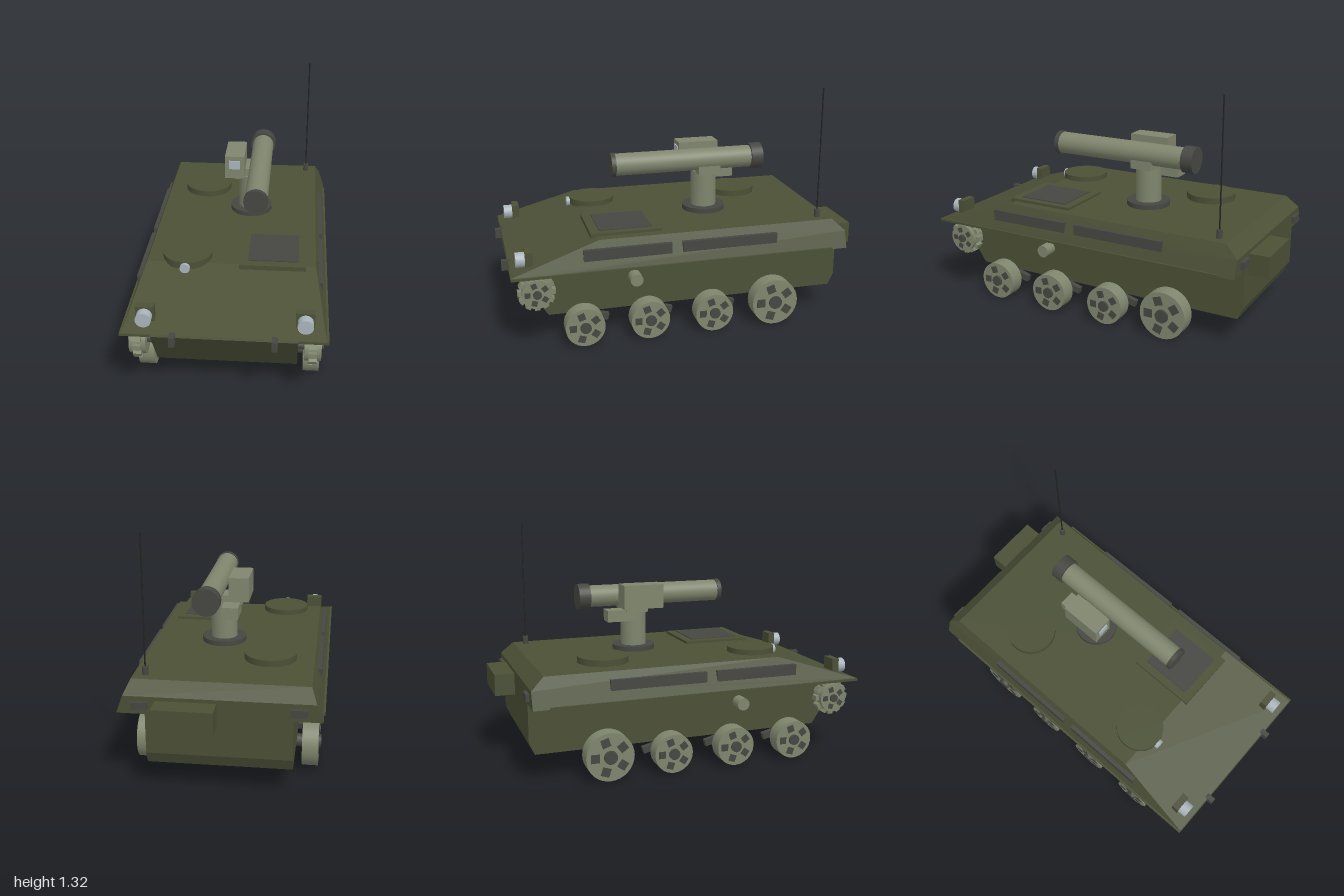
import * as THREE from 'three';
import { ConvexGeometry } from 'three/addons/geometries/ConvexGeometry.js';

const material = (name, color) => {
  const m = new THREE.MeshStandardMaterial({ color });
  m.name = name;
  return m;
};

export function createModel() {
  const olive = material('olive hull', 0x4b5036);
  const sage = material('sage fittings', 0x7f856d);
  const dark = material('dark grey', 0x464642);
  const glass = material('pale glass', 0xaab4bc);
  const black = material('antenna black', 0x222222);

  const model = new THREE.Group();
  model.name = 'armouredVehicle';

  const add = (name, geometry, mat, parent = model) => {
    const mesh = new THREE.Mesh(geometry, mat);
    mesh.name = name;
    parent.add(mesh);
    return mesh;
  };
  // Box given by its extents on each axis
  const box = (name, mat, [x0, x1], [y0, y1], [z0, z1], parent) => {
    const mesh = add(name, new THREE.BoxGeometry(x1 - x0, y1 - y0, z1 - z0), mat, parent);
    mesh.position.set((x0 + x1) / 2, (y0 + y1) / 2, (z0 + z1) / 2);
    return mesh;
  };
  // Cylinder of a given length, centred at a point, along one axis
  const cylinder = (name, mat, r, length, axis, [x, y, z], parent, sides = 32) => {
    const g = new THREE.CylinderGeometry(r, r, length, sides);
    if (axis === 'x') g.rotateZ(-Math.PI / 2);
    if (axis === 'z') g.rotateX(Math.PI / 2);
    const mesh = add(name, g, mat, parent);
    mesh.position.set(x, y, z);
    return mesh;
  };
  // Solid spanned by mirrored pairs of corners
  const mirroredSolid = (name, mat, corners) => add(name, new ConvexGeometry(
    corners.flatMap(([x, y, z]) => [new THREE.Vector3(x, y, z), new THREE.Vector3(-x, y, z)])), mat);

  // Hull
  mirroredSolid('lowerHull', olive, [
    [0.37, 0.155, 0.77], [0.37, 0.435, 0.96], [0.37, 0.435, -0.89],
    [0.37, 0.22, -0.89], [0.37, 0.155, -0.86]]);
  mirroredSolid('upperHull', olive, [
    [0.515, 0.432, 0.97], [0.51, 0.445, 0.965], [0.515, 0.432, -0.89],
    [0.482, 0.525, -0.89], [0.453, 0.59, 0.5], [0.453, 0.59, -0.82]]);

  // Wheel facing +x: rim, hub and five dark recesses on the outer face
  function wheel(name, r, y, z, parent) {
    const g = new THREE.Group();
    g.name = name;
    g.position.set(0, y, z);
    parent.add(g);
    cylinder('rim', sage, r, 0.086, 'x', [0.445, 0, 0], g);
    cylinder('hub', dark, r * 0.28, 0.03, 'x', [0.486, 0, 0], g, 16);
    const s = r * 0.36;
    for (let i = 0; i < 5; i++) {
      const a = i * Math.PI * 2 / 5;
      const plate = add('recess', new THREE.BoxGeometry(0.008, s, s), dark, g);
      plate.position.set(0.487, Math.sin(a) * r * 0.63, Math.cos(a) * r * 0.63);
      plate.rotation.x = -a;
    }
    return g;
  }

  for (const side of [1, -1]) {
    const label = side > 0 ? 'left' : 'right';
    const gear = new THREE.Group();
    gear.name = label + 'RunningGear';
    // A half turn keeps faces outward; z is flipped back per part
    gear.rotation.y = side > 0 ? 0 : Math.PI;
    model.add(gear);

    // Road wheels with swing arms
    for (const z of [0.59, 0.233, -0.13]) {
      wheel('roadWheel', 0.107, 0.112, z * side, gear);
      const arm = box('swingArm', dark, [0.36, 0.39], [0.118, 0.155], [z * side - 0.09, z * side + 0.09], gear);
      arm.position.z -= 0.055 * side;
      arm.rotation.x = -0.25 * side;
      cylinder('axle', dark, 0.025, 0.05, 'x', [0.39, 0.125, z * side], gear, 16);
    }
    wheel('idlerWheel', 0.132, 0.135, -0.485 * side, gear);
    cylinder('idlerAxle', dark, 0.035, 0.05, 'x', [0.385, 0.135, -0.485 * side], gear, 16);

    // Toothed drive sprocket
    const sprocket = wheel('driveSprocket', 0.08, 0.332, 0.837 * side, gear);
    for (let i = 0; i < 12; i++) {
      const a = i * Math.PI / 6;
      const tooth = add('tooth', new THREE.BoxGeometry(0.042, 0.028, 0.025), sage, sprocket);
      tooth.position.set(0.445, Math.sin(a) * 0.087, Math.cos(a) * 0.087);
      tooth.rotation.x = -a;
    }
    cylinder('sprocketAxle', dark, 0.025, 0.05, 'x', [0.385, 0.332, 0.837 * side], gear, 16);
    cylinder('returnRoller', sage, 0.035, 0.075, 'x', [0.405, 0.333, 0.297 * side], gear, 20);

    // Mirrored extents for boxes on either side
    const mx = (a, b) => side > 0 ? [a, b] : [-b, -a];
    box(label + 'Fender', olive, mx(0.37, 0.522), [0.43, 0.443], [-0.8, 0.97]);
    for (const span of [[0.115, 0.59], [-0.48, 0.055]])
      box(label + 'SidePanel', dark, mx(0.47, 0.493), [0.49, 0.55], span);

    // Lights and tow hooks
    box(label + 'HeadlightHousing', olive, mx(0.355, 0.45), [0.46, 0.55], [0.847, 0.887]);
    cylinder(label + 'Headlight', glass, 0.04, 0.05, 'z', [0.404 * side, 0.502, 0.91]);
    box(label + 'TowHook', dark, mx(0.24, 0.27), [0.395, 0.45], [0.95, 1.0]);
    box(label + 'RearLight', dark, mx(0.355, 0.435), [0.46, 0.5], [-0.91, -0.88]);
  }

  // Rear stowage and roof hatches
  box('rearStowageBox', olive, [0.01, 0.318], [0.385, 0.505], [-1.0, -0.885]);
  cylinder('driverHatch', olive, 0.133, 0.04, 'y', [-0.24, 0.6, 0.425], model, 48);
  cylinder('driverPeriscope', glass, 0.027, 0.04, 'z', [-0.24, 0.592, 0.555], model, 20);
  cylinder('rearHatch', olive, 0.14, 0.04, 'y', [-0.218, 0.605, -0.445], model, 48);
  box('squareHatch', olive, [0.045, 0.4], [0.58, 0.605], [0.145, 0.535]);
  box('squareHatchPanel', dark, [0.09, 0.36], [0.602, 0.61], [0.195, 0.485]);

  // Launcher mount
  cylinder('turretRing', dark, 0.122, 0.03, 'y', [0.067, 0.602, -0.182], model, 48);
  cylinder('pedestal', sage, 0.073, 0.21, 'y', [0.067, 0.715, -0.182]);
  box('cradle', sage, [-0.04, 0.175], [0.815, 0.866], [-0.25, -0.125]);
  box('driveUnit', sage, [-0.03, 0.06], [0.765, 0.83], [-0.36, -0.2]);

  // Sight with window
  box('sightHousing', sage, [-0.08, 0.032], [0.84, 0.975], [-0.278, -0.047]);
  box('sightWindow', glass, [-0.055, 0.008], [0.9, 0.95], [-0.048, -0.04]);

  // Launch tube with end caps
  cylinder('launchTube', sage, 0.062, 0.8, 'z', [0.122, 0.897, -0.04]);
  cylinder('tubeFrontCap', dark, 0.067, 0.025, 'z', [0.122, 0.897, 0.36]);
  cylinder('tubeRearCap', dark, 0.074, 0.067, 'z', [0.122, 0.897, -0.467]);

  // Antenna
  cylinder('antennaBase', dark, 0.016, 0.05, 'y', [0.392, 0.61, -0.755], model, 16);
  cylinder('antenna', black, 0.004, 0.69, 'y', [0.392, 0.975, -0.755], model, 8);

  return model;
}
